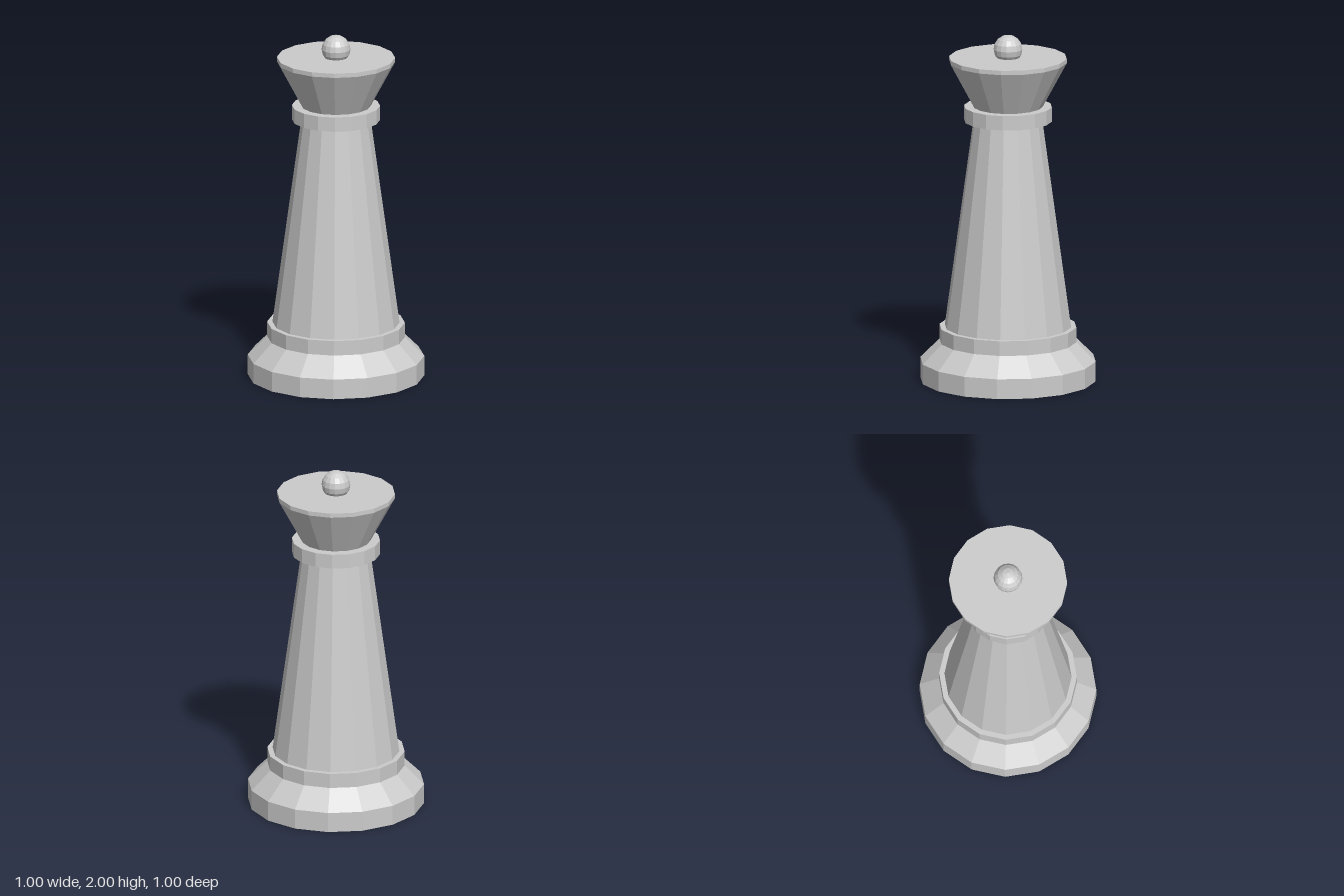
import * as THREE from 'three';

const SIDES = 16;

export function createModel() {
  const model = new THREE.Group();
  model.name = 'chessPiece';
  const material = new THREE.MeshStandardMaterial({ color: 0xcccccc, flatShading: true });

  const add = (name, geometry, y) => {
    const mesh = new THREE.Mesh(geometry, material);
    mesh.name = name;
    mesh.position.y = y;
    model.add(mesh);
  };

  // Stacked faceted sections: name, bottom y, top y, bottom radius, top radius
  const sections = [
    ['base', 0, 0.115, 0.5, 0.5],
    ['baseSlope', 0.115, 0.225, 0.5, 0.39],
    ['lowerCollar', 0.225, 0.31, 0.39, 0.39],
    ['shaft', 0.31, 1.503, 0.36, 0.197],
    ['upperCollar', 1.503, 1.587, 0.25, 0.25],
    ['crown', 1.587, 1.845, 0.197, 0.335],
    ['crownRim', 1.845, 1.87, 0.335, 0.335],
  ];
  for (const [name, y0, y1, r0, r1] of sections) {
    add(name, new THREE.CylinderGeometry(r1, r0, y1 - y0, SIDES), (y0 + y1) / 2);
  }

  // Ball on top of the crown, slightly sunk into it
  add('finial', new THREE.SphereGeometry(0.082, SIDES, 8), 1.918);

  return model;
}
